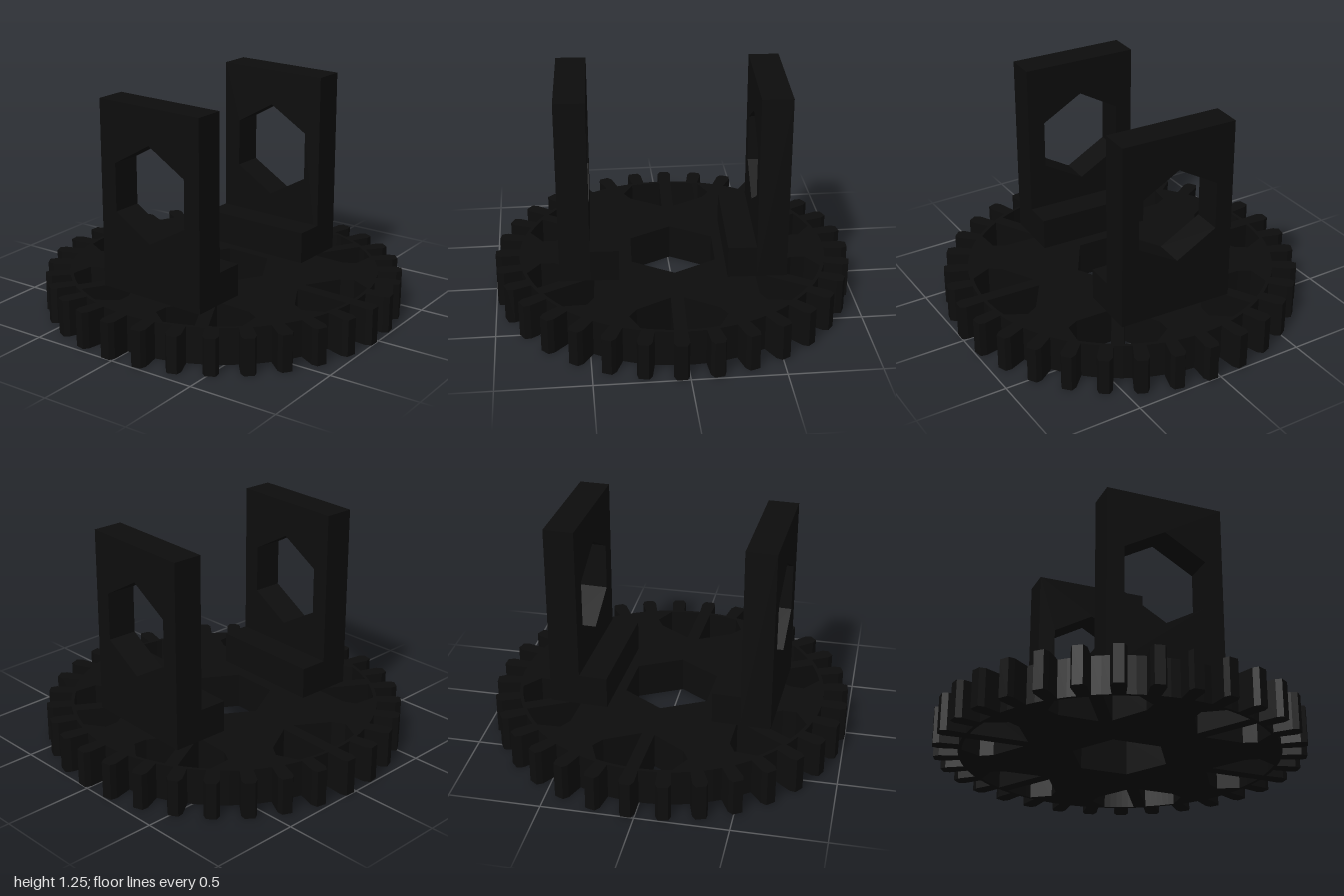
import * as THREE from 'three';

const TEETH = 32;
const ROOT = 0.865;
const RIM_INNER = 0.846;
const DISC_H = 0.205;
const SPOKE_HALF = 0.035;

const turn = ([x, y], a) => new THREE.Vector2(
  x * Math.cos(a) - y * Math.sin(a),
  x * Math.sin(a) + y * Math.cos(a)
);

// Hexagon of radius r around (cx, cy), first corner at angle start
function hexagon(r, start, cx = 0, cy = 0) {
  const pts = [];
  for (let i = 0; i < 6; i++) {
    const a = start + i * Math.PI / 3;
    pts.push(new THREE.Vector2(cx + r * Math.cos(a), cy + r * Math.sin(a)));
  }
  return new THREE.Path(pts);
}

// Toothed outline: each tooth flares slightly and has a chamfered tip
function gearOutline() {
  const pts = [];
  const step = Math.PI * 2 / TEETH;
  const tooth = [[0.864, -0.035], [0.968, -0.041], [1, -0.027], [1, 0.027], [0.968, 0.041], [0.864, 0.035]];
  for (let i = 0; i < TEETH; i++) {
    tooth.forEach(p => pts.push(turn(p, i * step)));
    pts.push(turn([ROOT, 0], (i + 0.5) * step));
  }
  return pts;
}

// One half of a window, beside a spoke pointing along +x
function windowPoints(side) {
  const pts = [[0.53, SPOKE_HALF], [0.64, 0.22], [0.705, 0.26]];
  const a0 = Math.atan2(0.205, 0.82);
  const a1 = Math.asin(SPOKE_HALF / RIM_INNER);
  for (let i = 0; i <= 5; i++) {
    const a = a0 + (a1 - a0) * i / 5;
    pts.push([RIM_INNER * Math.cos(a), RIM_INNER * Math.sin(a)]);
  }
  return pts.map(([x, y]) => [x, y * side]);
}

export function createModel() {
  const model = new THREE.Group();
  model.name = 'gearBracket';
  const black = new THREE.MeshStandardMaterial({ name: 'black', color: 0x0d0d0d, flatShading: true });

  const body = new THREE.Group();
  body.name = 'body';
  body.rotation.y = -0.045;
  model.add(body);

  // Gear wheel with hexagonal bore and six split windows
  const gear = new THREE.Shape(gearOutline());
  gear.holes.push(hexagon(0.27, 0));
  for (let i = 0; i < 6; i++) {
    for (const side of [1, -1]) {
      gear.holes.push(new THREE.Path(windowPoints(side).map(p => turn(p, i * Math.PI / 3))));
    }
  }
  const gearGeo = new THREE.ExtrudeGeometry(gear, { depth: DISC_H, bevelEnabled: false });
  gearGeo.rotateX(-Math.PI / 2);
  const gearMesh = new THREE.Mesh(gearGeo, black);
  gearMesh.name = 'gearWheel';
  body.add(gearMesh);

  // Upright plate with a hexagonal hole
  const plate = new THREE.Shape([
    new THREE.Vector2(-0.33, DISC_H), new THREE.Vector2(0.33, DISC_H),
    new THREE.Vector2(0.33, 1.253), new THREE.Vector2(-0.33, 1.253)
  ]);
  plate.holes.push(hexagon(0.268, Math.PI / 6, 0, 0.783));
  const plateGeo = new THREE.ExtrudeGeometry(plate, { depth: 0.168, bevelEnabled: false });
  plateGeo.translate(0, 0, 0.455);

  // Step at the inner foot of each plate
  const footGeo = new THREE.BoxGeometry(0.66, 0.18, 0.158);
  footGeo.translate(0, DISC_H + 0.09, 0.376);

  for (const [name, angle] of [['front', 0], ['back', Math.PI]]) {
    const bracket = new THREE.Group();
    bracket.name = name + 'Bracket';
    bracket.rotation.y = angle;
    bracket.position.z = 0.008;
    const wall = new THREE.Mesh(plateGeo, black);
    wall.name = name + 'Plate';
    const foot = new THREE.Mesh(footGeo, black);
    foot.name = name + 'Foot';
    bracket.add(wall, foot);
    body.add(bracket);
  }
  return model;
}
